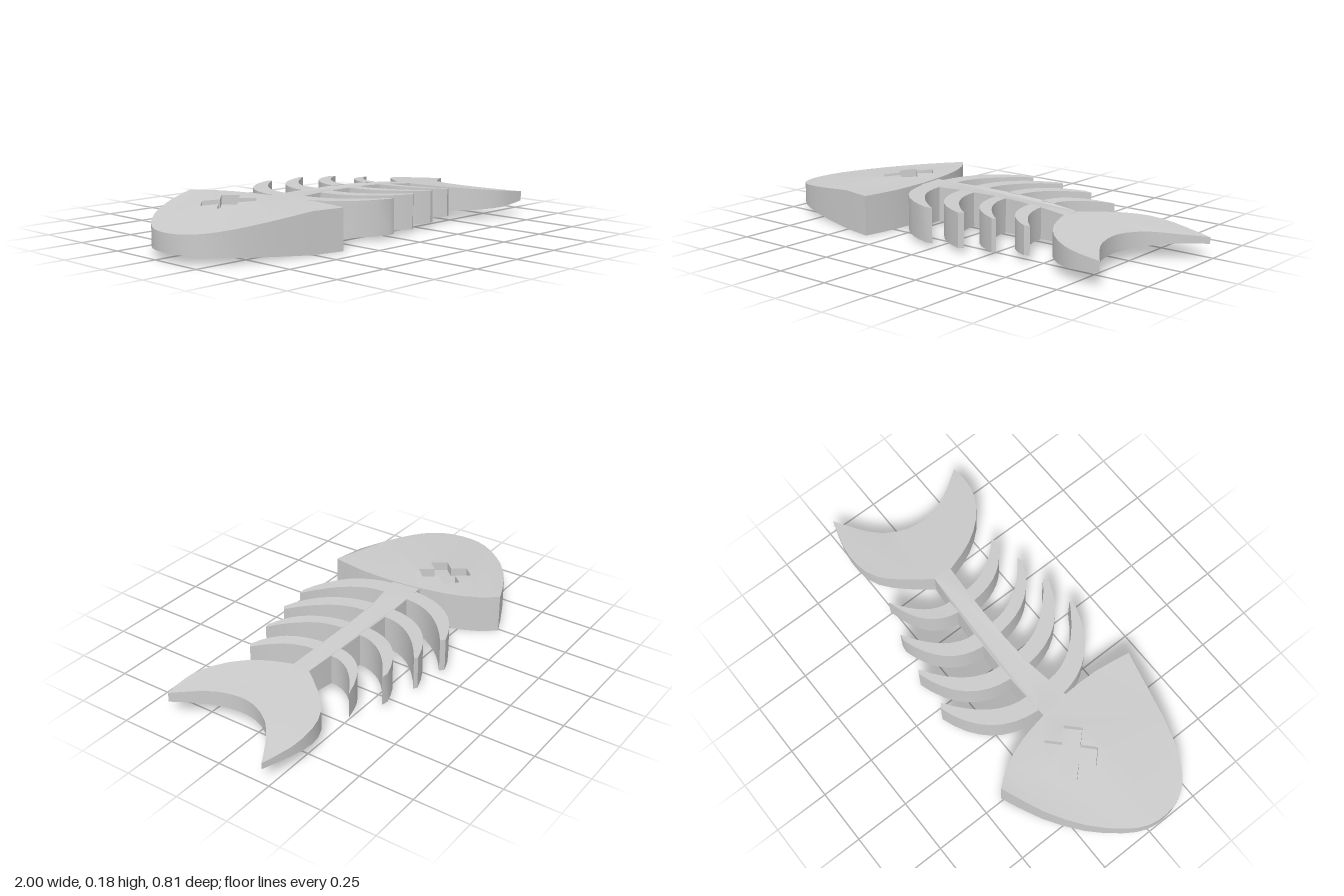
import * as THREE from 'three';
import { toCreasedNormals } from 'three/addons/utils/BufferGeometryUtils.js';

const material = new THREE.MeshStandardMaterial({ color: 0xcccccc });

// Thickness profiles along the length: [x, bottom, top]
const headProfile = [[-1, 0.04, 0.12], [-0.5, 0.003, 0.182], [-0.3, 0.003, 0.182]];
const bodyProfile = [
  [-0.4, 0.018, 0.177], [0.15, 0.022, 0.176], [0.3, 0.027, 0.17],
  [0.46, 0.035, 0.157], [0.73, 0.052, 0.128], [0.87, 0.068, 0.11], [1, 0.072, 0.1],
];

function heights(profile, x) {
  let i = 1;
  while (i < profile.length - 1 && x > profile[i][0]) i++;
  const [a, b] = [profile[i - 1], profile[i]];
  const t = THREE.MathUtils.clamp((x - a[0]) / (b[0] - a[0]), 0, 1);
  return [1, 2].map((k) => THREE.MathUtils.lerp(a[k], b[k], t));
}

// Plan points are given as [x, z]
const vec = ([x, z]) => new THREE.Vector2(x, -z);
const smooth = (points, n = 2) => new THREE.SplineCurve(points.map(vec)).getPoints((points.length - 1) * n);

// Extrude a plan outline upward and fit it to a thickness profile
function slab(name, outline, profile, hole, recess = 0) {
  const shape = new THREE.Shape(outline);
  if (hole) shape.holes.push(new THREE.Path(hole));
  const geometry = new THREE.ExtrudeGeometry(shape, { depth: 1, bevelEnabled: false, steps: 1 });
  geometry.rotateX(-Math.PI / 2);
  const pos = geometry.attributes.position;
  for (let i = 0; i < pos.count; i++) {
    const [low, high] = heights(profile, pos.getX(i));
    pos.setY(i, THREE.MathUtils.lerp(low, high - recess, pos.getY(i)));
  }
  const mesh = new THREE.Mesh(toCreasedNormals(geometry, 0.5), material);
  mesh.name = name;
  return mesh;
}

// Diagonal cross outline
function crossOutline(cx, cz, length, width) {
  const points = [];
  for (let k = 0; k < 4; k++) {
    for (const [x, y] of [[length, -width], [length, width], [width, width]]) {
      points.push(new THREE.Vector2(x, y)
        .rotateAround(new THREE.Vector2(), Math.PI / 4 + k * Math.PI / 2)
        .add(vec([cx, cz])));
    }
  }
  return points;
}

// Curved rib: base from x0 to x1 at z, tip edge from outerTip to innerTip
function ribOutline(x0, x1, z, outerTip, innerTip) {
  const edge = (x, tip, kx, kz) => new THREE.QuadraticBezierCurve(
    vec([x, z]),
    vec([x + (tip[0] - x) * kx, z + (tip[1] - z) * kz]),
    vec(tip),
  ).getPoints(8);
  return [...edge(x0, outerTip, 0.07, 0.76), ...edge(x1, innerTip, 0, 0.54).reverse()];
}

export function createModel() {
  const group = new THREE.Group();
  group.name = 'fishSkeleton';

  // Head with a cross-shaped eye sunk into the top
  const eye = crossOutline(-0.55, -0.08, 0.115, 0.04);
  const headFront = smooth([
    [-0.49, -0.41], [-0.67, -0.33], [-0.83, -0.22], [-0.94, -0.1], [-0.99, -0.01], [-1, 0.08],
    [-0.98, 0.165], [-0.93, 0.23], [-0.84, 0.285], [-0.67, 0.34], [-0.36, 0.405],
  ]);
  const headBack = smooth([
    [-0.36, 0.405], [-0.335, 0.24], [-0.335, 0.07], [-0.35, -0.065], [-0.38, -0.21], [-0.43, -0.33], [-0.49, -0.41],
  ]);
  group.add(slab('head', [...headFront, ...headBack.slice(1, -1)], headProfile, eye));
  group.add(slab('eyeFloor', eye, headProfile, null, 0.04));

  // Spine
  const spine = [
    [-0.37, -0.065], [-0.32, -0.067], [-0.08, -0.075], [0.08, -0.072], [0.27, -0.062], [0.46, -0.04],
    [0.46, 0.046], [0.32, 0.035], [0.19, 0.029], [0.03, 0.027], [-0.12, 0.035], [-0.28, 0.06], [-0.37, 0.075],
  ];
  group.add(slab('spine', spine.map(vec), bodyProfile));

  // Ribs along the back and the belly
  const ribs = {
    backRib: [
      [-0.318, -0.238, -0.068, [-0.05, -0.393], [-0.03, -0.377]],
      [-0.131, -0.056, -0.073, [0.136, -0.372], [0.152, -0.361]],
      [0.061, 0.131, -0.068, [0.302, -0.329], [0.334, -0.324]],
      [0.259, 0.323, -0.057, [0.478, -0.265], [0.495, -0.27]],
    ],
    bellyRib: [
      [-0.326, -0.238, 0.052, [-0.04, 0.366], [-0.008, 0.361]],
      [-0.126, -0.051, 0.03, [0.126, 0.35], [0.147, 0.334]],
      [0.067, 0.126, 0.027, [0.281, 0.318], [0.302, 0.313]],
      [0.259, 0.323, 0.03, [0.43, 0.291], [0.452, 0.281]],
    ],
  };
  for (const [name, list] of Object.entries(ribs)) {
    list.forEach((rib, i) => group.add(slab(name + (i + 1), ribOutline(...rib), bodyProfile)));
  }

  // Forked tail fin
  const tailBack = smooth([[0.457, -0.04], [0.537, -0.142], [0.634, -0.233], [0.74, -0.267], [0.864, -0.259], [1, -0.219]]);
  const tailFork = smooth([
    [1, -0.219], [0.89, -0.152], [0.8, -0.078], [0.746, 0.019], [0.735, 0.11], [0.757, 0.211], [0.8, 0.291], [0.864, 0.382],
  ]);
  const tailBelly = smooth([[0.864, 0.382], [0.767, 0.382], [0.682, 0.361], [0.58, 0.291], [0.505, 0.19], [0.463, 0.083], [0.452, 0.045]]);
  group.add(slab('tail', [...tailBack, ...tailFork.slice(1), ...tailBelly.slice(1)], bodyProfile));

  return group;
}
